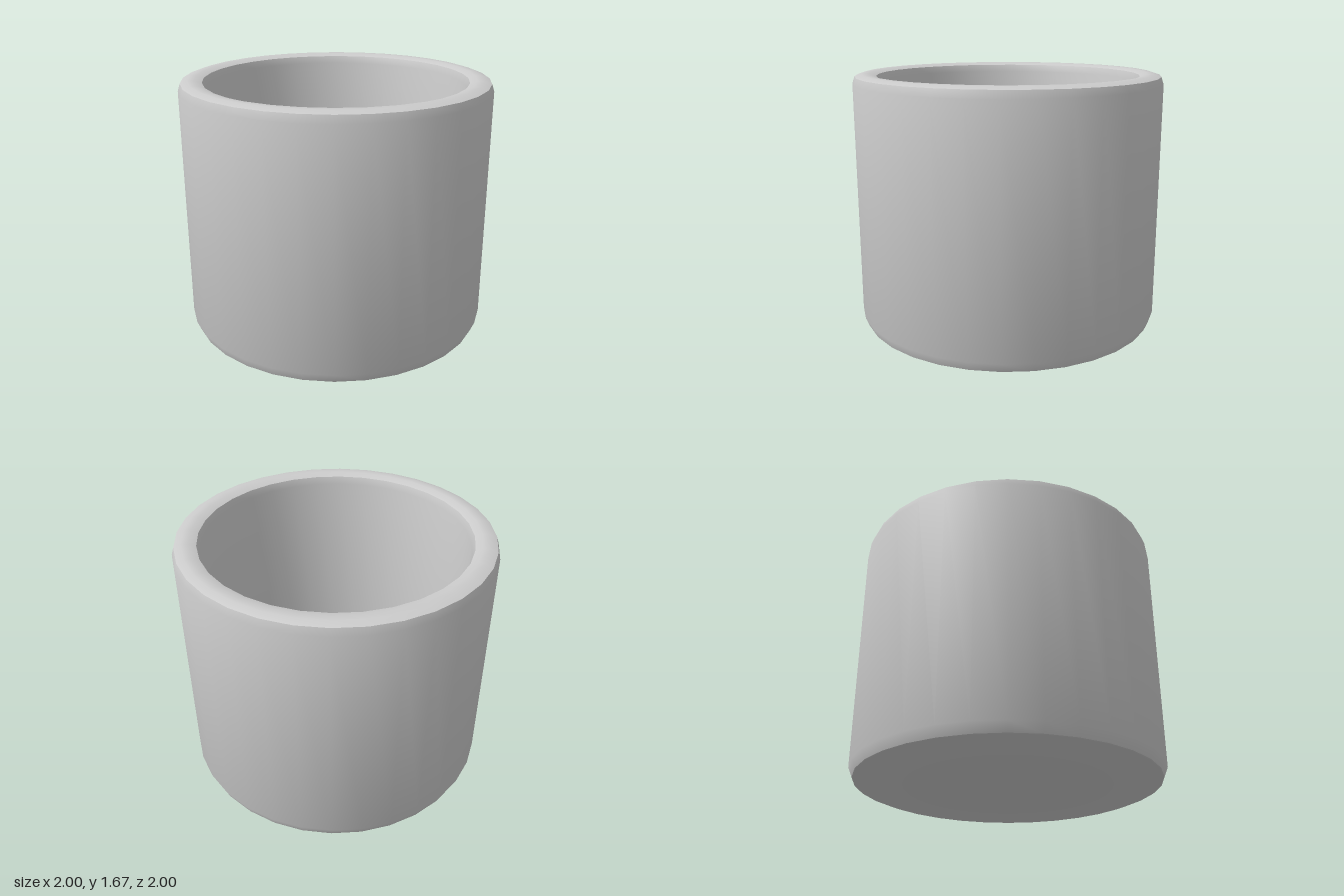
import * as THREE from 'three';
import { toCreasedNormals } from 'three/addons/utils/BufferGeometryUtils.js';

export function createModel() {
  const group = new THREE.Group();
  group.name = 'cup';

  // Closed wall section, from the underside up the outside, over the rim and down to the inner floor
  const profile = [
    [0, 0], [0.91, 0], [0.975, 0.025], [1, 0.085],        // base with rounded edge
    [1, 1.605], [0.985, 1.652],                           // outer wall and bevel
    [0.94, 1.667], [0.895, 1.667], [0.85, 1.652],         // rounded rim
    [0.835, 1.605], [0.835, 0.15], [0, 0.15],             // inner wall and floor
  ].map(([r, y]) => new THREE.Vector2(r, y));

  const geometry = toCreasedNormals(new THREE.LatheGeometry(profile, 32), 0.6);
  const body = new THREE.Mesh(geometry, new THREE.MeshStandardMaterial({ color: 0xcccccc }));
  body.name = 'cupBody';
  group.add(body);
  return group;
}
